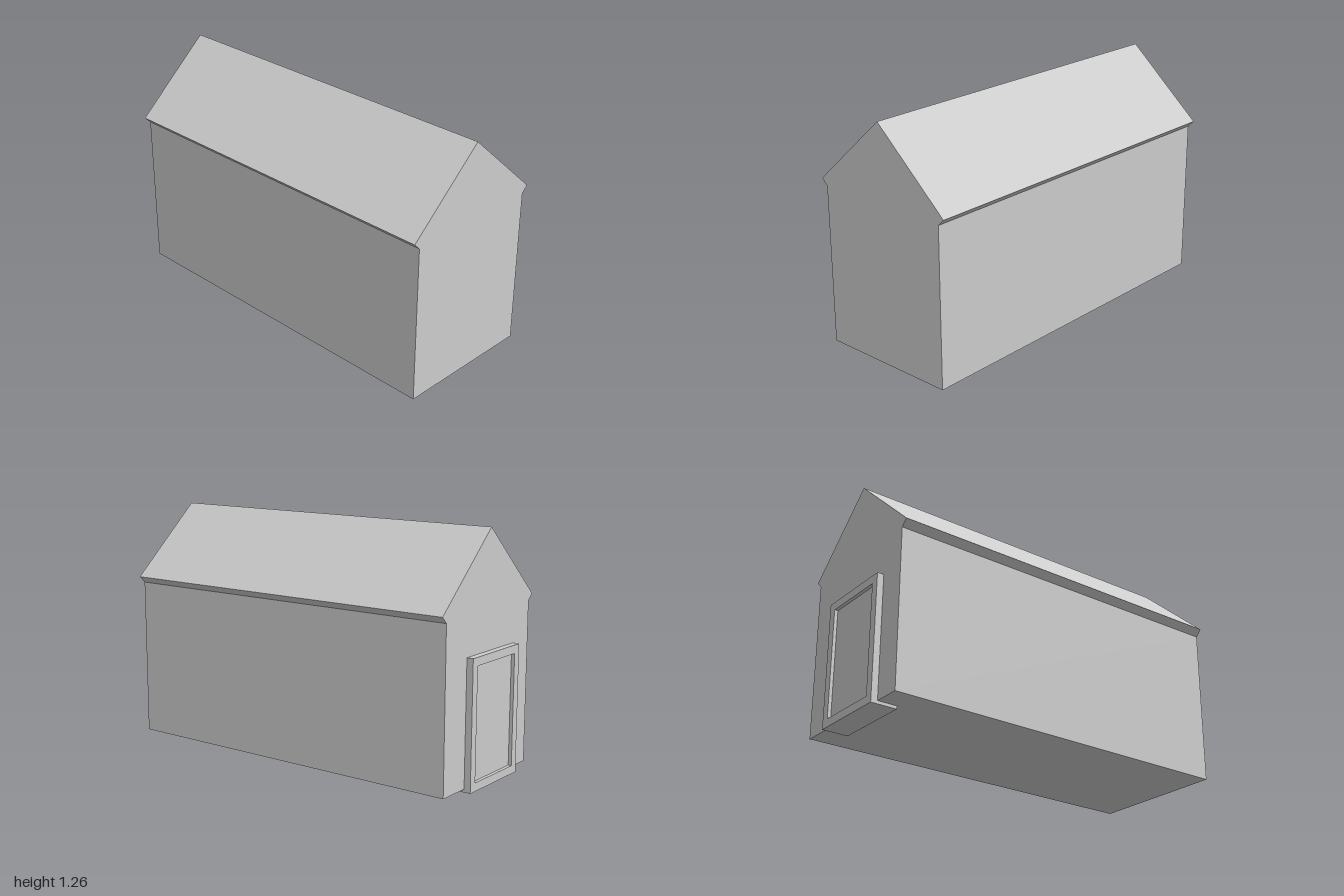
import * as THREE from 'three';

const material = new THREE.MeshStandardMaterial({ color: 0xcccccc, flatShading: true });

// Extrudes an outline along z between two depths
function extrude(name, shape, zBack, zFront) {
  const geometry = new THREE.ExtrudeGeometry(shape, { depth: zFront - zBack, bevelEnabled: false });
  geometry.translate(0, 0, zBack);
  const mesh = new THREE.Mesh(geometry, material);
  mesh.name = name;
  return mesh;
}

function rectangle(x0, y0, x1, y1) {
  return [[x0, y0], [x1, y0], [x1, y1], [x0, y1]].map(([x, y]) => new THREE.Vector2(x, y));
}

export function createModel() {
  const model = new THREE.Group();
  model.name = 'gabledShed';

  // Walls and roof share one gable outline with short slanted eaves
  const half = [[0.383, 0.016], [0.383, 0.856], [0.417, 0.89]];
  const outline = [
    ...half,
    [0, 1.264],
    ...half.map(([x, y]) => [-x, y]).reverse(),
  ].map(([x, y]) => new THREE.Vector2(x, y));
  model.add(extrude('gabledBody', new THREE.Shape(outline), -0.965, 1));

  // Door at the back, slightly off centre, its frame set into the wall
  const left = -0.237, right = 0.198, top = 0.664, border = 0.043;
  const inner = rectangle(left + border, border, right - border, top - border);
  const frame = new THREE.Shape(rectangle(left, 0, right, top));
  frame.holes.push(new THREE.Path(inner));

  const door = new THREE.Group();
  door.name = 'door';
  door.add(extrude('doorFrame', frame, -1, -0.86));
  door.add(extrude('doorPanel', new THREE.Shape(inner), -0.982, -0.88));
  model.add(door);

  return model;
}
